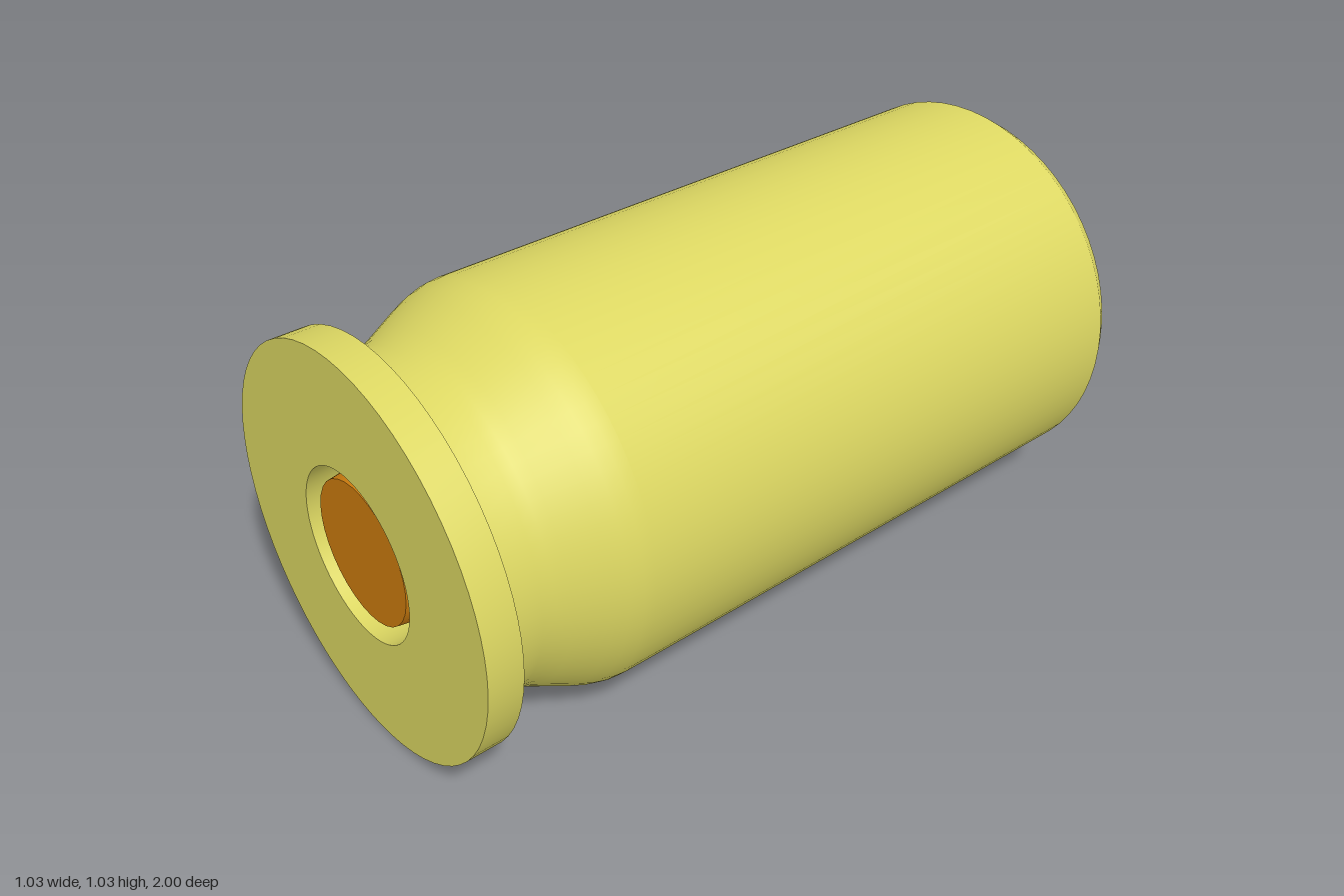
import * as THREE from 'three';
import { toCreasedNormals } from 'three/addons/utils/BufferGeometryUtils.js';

const RADIUS = 0.513;

// Turn a profile of [radius, z] points around the z axis
function turned(name, profile, segments, material) {
  const points = profile.map(([r, z]) => new THREE.Vector2(r, z));
  const geometry = new THREE.LatheGeometry(points, segments);
  geometry.rotateX(Math.PI / 2);
  const mesh = new THREE.Mesh(toCreasedNormals(geometry, 0.45), material);
  mesh.name = name;
  mesh.position.y = RADIUS;
  return mesh;
}

export function createModel() {
  const group = new THREE.Group();
  group.name = 'cartridgeCase';
  const brass = new THREE.MeshStandardMaterial({ color: 0xdcd762 });
  const copper = new THREE.MeshStandardMaterial({ color: 0xcc7c0e });

  group.add(turned('casing', [
    // hollow inside, from the floor to the mouth
    [0, 0.8], [0.34, 0.8], [0.36, 0.77], [0.455, 0.55], [0.455, -0.96],
    // bevelled mouth edge
    [0.487, -1], [RADIUS, -0.96],
    // straight body and rounded shoulder
    [RADIUS, 0.56], [0.51, 0.59], [0.5, 0.625], [0.485, 0.66],
    [0.446, 0.74], [0.432, 0.77], [0.425, 0.8],
    // extractor groove
    [0.425, 0.89], [0.438, 0.91],
    // rim and flat head
    [RADIUS, 0.91], [RADIUS, 1], [0.217, 1],
    // primer pocket
    [0.217, 0.88], [0, 0.88],
  ], 64, brass));

  // Raised cap with sloping sides, seated in the pocket
  group.add(turned('primer', [
    [0.217, 0.89], [0.194, 0.89], [0.18, 0.985], [0, 0.985],
  ], 32, copper));

  return group;
}
